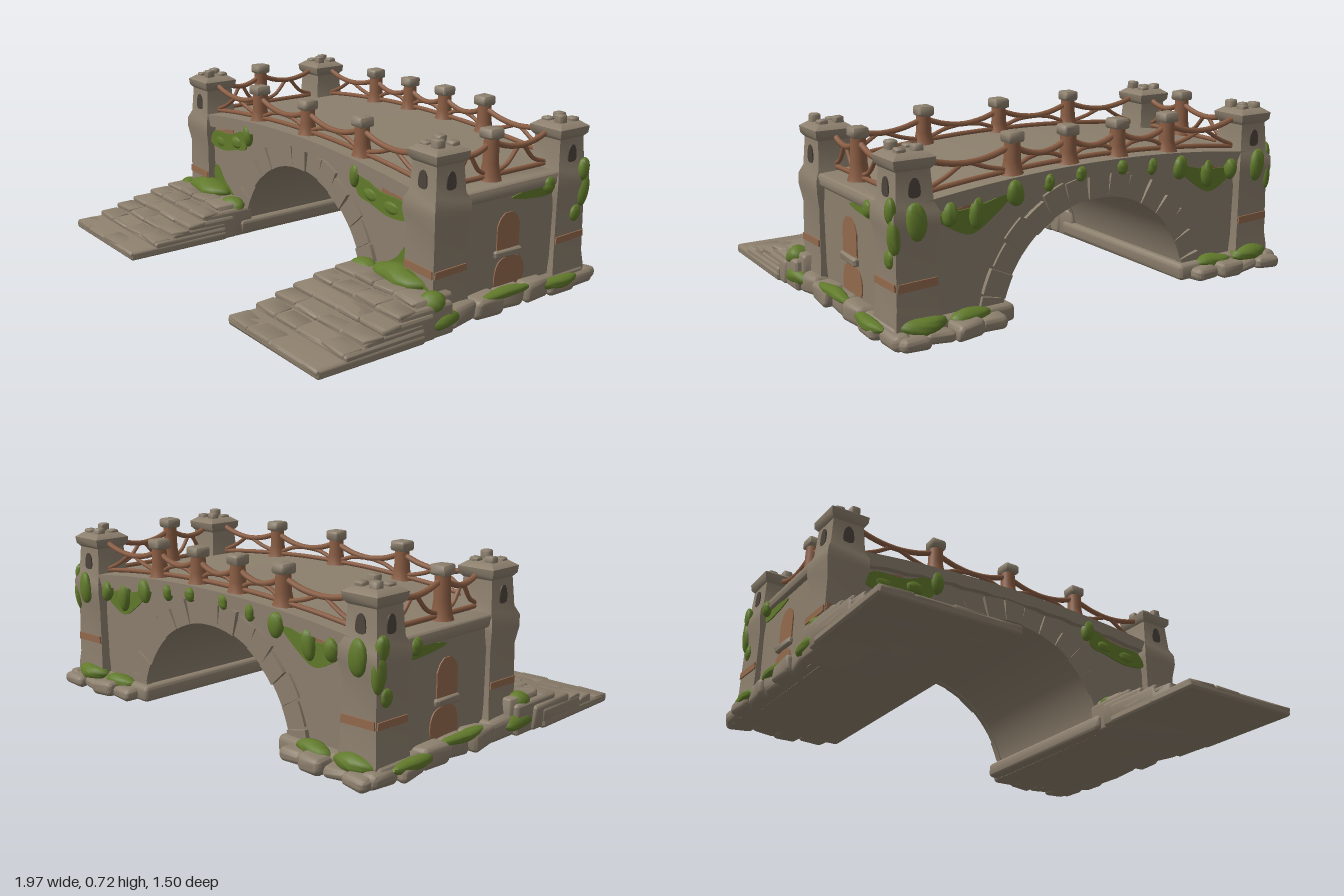
import * as THREE from 'three';
import { mergeVertices, toCreasedNormals } from 'three/addons/utils/BufferGeometryUtils.js';
import { RoundedBoxGeometry } from 'three/addons/geometries/RoundedBoxGeometry.js';

const material = (name, color, side = THREE.FrontSide) => {
  const m = new THREE.MeshStandardMaterial({ color, side });
  m.name = name;
  return m;
};
const V = (x, y, z) => new THREE.Vector3(x, y, z);
const BACK = -0.59, FRONT = 0.07, MID = -0.205; // rail lines along z
const deckY = (x) => 0.562 - 0.062 * (x / 0.85) ** 2;

export function createModel() {
  const stone = material('stone', 0x8c7f6d);
  const wood = material('wood', 0x8a5d43);
  const clay = material('clay', 0x92694d, THREE.DoubleSide);
  const moss = material('moss', 0x617a2b, THREE.DoubleSide);
  const shade = material('window shade', 0x4d453c, THREE.DoubleSide);
  const model = new THREE.Group();
  model.name = 'bridge';

  const add = (name, geometry, mat, x = 0, y = 0, z = 0) => {
    const mesh = new THREE.Mesh(geometry, mat);
    mesh.name = name;
    mesh.position.set(x, y, z);
    model.add(mesh);
    return mesh;
  };

  // Gentle hand-carved wobble, then smooth normals
  const wobble = (geometry, amount, seed) => {
    geometry.deleteAttribute('normal');
    geometry.deleteAttribute('uv');
    const g = mergeVertices(geometry, 1e-4);
    const p = g.attributes.position;
    for (let i = 0; i < p.count; i++) {
      const [x, y, z] = [p.getX(i), p.getY(i), p.getZ(i)];
      p.setXYZ(i, x + amount * Math.sin(31 * z + 23 * y + seed),
        y + amount * 0.6 * Math.sin(37 * x + 29 * z + seed * 2),
        z + amount * Math.sin(33 * x + 19 * y + seed * 3));
    }
    return toCreasedNormals(g, 0.9);
  };
  // Rounded stone given by its minimum and maximum corners
  const block = (name, x0, x1, y0, y1, z0, z1, r = 0.015, amount = 0.004, mat = stone) =>
    add(name, wobble(new RoundedBoxGeometry(x1 - x0, y1 - y0, z1 - z0, 3, r), amount, x0 * 9 + z0 * 17),
      mat, (x0 + x1) / 2, (y0 + y1) / 2, (z0 + z1) / 2);
  // Same, mirrored to either side
  const sideBlock = (s, name, x0, x1, ...rest) =>
    s > 0 ? block(name, x0, x1, ...rest) : block(name, -x1, -x0, ...rest);
  const lump = (name, x, y, z, rx, ry, rz, mat = moss) => {
    const g = new THREE.SphereGeometry(1, 14, 10).scale(rx, ry, rz);
    return add(name, wobble(g, Math.min(rx, ry, rz) * 0.16, x * 13 + z * 7), mat, x, y, z);
  };
  // Thin painted patch with a soft outline; points are [across, y]
  const patchGeometry = (points, smooth) => {
    let pts = points.map(([a, b]) => new THREE.Vector2(a, b));
    if (smooth) {
      pts = new THREE.CatmullRomCurve3(pts.map((p) => V(p.x, p.y, 0)), true)
        .getPoints(40).slice(0, 40).map((p) => new THREE.Vector2(p.x, p.y));
    }
    return new THREE.ExtrudeGeometry(new THREE.Shape(pts), { depth: 0.006, bevelEnabled: false });
  };
  const facePatch = (name, mat, z, points, smooth = true) =>
    add(name, patchGeometry(points, smooth), mat, 0, 0, z > -0.2 ? z : z - 0.006);
  const sidePatch = (name, mat, s, x, points, smooth = true) => {
    const m = add(name, patchGeometry(points.map(([z, y]) => [-s * z, y]), smooth), mat, s * x);
    m.rotation.y = s * Math.PI / 2;
  };
  const extrudeZ = (shape, z0, z1) => {
    const g = new THREE.ExtrudeGeometry(shape, { depth: z1 - z0, bevelEnabled: false, curveSegments: 40 });
    return toCreasedNormals(g.translate(0, 0, z0), 0.6);
  };

  // Main body with the round opening cut from below
  const R = 0.458, CY = -0.04, a0 = Math.asin(-CY / R);
  const body = new THREE.Shape();
  body.moveTo(-0.875, 0);
  body.lineTo(-R * Math.cos(a0), 0);
  body.absarc(0, CY, R, Math.PI - a0, a0, true);
  body.lineTo(0.875, 0);
  for (let i = 0; i <= 30; i++) {
    const x = 0.875 - 1.75 * i / 30;
    body.lineTo(x, deckY(x) - 0.004);
  }
  add('bridgeBody', extrudeZ(body, -0.625, 0.115), stone);

  // Curved deck slab that overhangs both faces
  const top = [], under = [];
  for (let i = 0; i <= 30; i++) {
    const x = -0.8 + 1.6 * i / 30;
    top.push(new THREE.Vector2(x, deckY(x)));
    under.unshift(new THREE.Vector2(x, deckY(x) - 0.055 + 0.004 * Math.sin(i * 2.3)));
  }
  add('deck', extrudeZ(new THREE.Shape([...top, ...under]), -0.655, 0.143), stone);

  // Arch ring of wedge stones on both faces
  const N = 15;
  for (let i = 0; i < N; i++) {
    const t0 = a0 + (Math.PI - 2 * a0) * i / N, t1 = a0 + (Math.PI - 2 * a0) * (i + 1) / N;
    const outer = 0.552 + 0.008 * Math.sin(i * 2.7);
    const wedge = new THREE.Shape();
    wedge.absarc(0, CY, R - 0.004, t0, t1, false);
    wedge.absarc(0, CY, outer, t1 - 0.01, t0 + 0.01, true);
    const out = 0.128 + 0.005 * Math.sin(i * 1.9);
    add('archStone', extrudeZ(wedge, 0.1, out), stone);
    add('archStone', extrudeZ(wedge, -0.51 - out, -0.61), stone);
  }

  // Corner tower: square loft from half-width and height
  const profile = [[0.094, 0], [0.09, 0.09], [0.084, 0.14], [0.08, 0.36], [0.092, 0.43], [0.091, 0.475],
    [0.075, 0.51], [0.067, 0.625], [0.08, 0.64], [0.083, 0.668], [0.055, 0.688], [0.001, 0.69]]
    .map(([w, y]) => new THREE.Vector2(w * Math.SQRT2, y));
  const towerGeometry = toCreasedNormals(new THREE.LatheGeometry(profile, 4, Math.PI / 4), 0.7);
  const windowPoints = (c) => [[c - 0.02, 0.535], [c + 0.02, 0.535], [c + 0.021, 0.575],
    [c + 0.012, 0.595], [c, 0.602], [c - 0.012, 0.595], [c - 0.021, 0.575]];

  for (const s of [1, -1]) {
    for (const [z, f] of [[FRONT, 1], [-0.58, -1]]) {
      const tx = s * 0.815;
      add('tower', towerGeometry, stone, tx, 0, z);
      for (const [dx, dz, h] of [[-1, -1, 0.712], [1, -1, 0.704], [1, 1, 0.72], [-1, 1, 0.7]]) {
        const cx = tx + dx * 0.034, cz = z + dz * 0.034;
        block('battlement', cx - 0.02, cx + 0.02, 0.67, h, cz - 0.02, cz + 0.02, 0.008, 0.002);
      }
      facePatch('towerWindow', shade, z + f * 0.07, windowPoints(tx));
      sidePatch('towerWindow', shade, s, 0.885, windowPoints(z));
      // Exposed clay courses
      facePatch('clayBand', clay, z + f * 0.083, [[tx - 0.08, 0.205], [tx + 0.08, 0.2], [tx + 0.078, 0.232], [tx - 0.078, 0.236]], false);
      sidePatch('clayBand', clay, s, 0.898, [[z - 0.08, 0.205], [z + 0.08, 0.2], [z + 0.078, 0.228], [z - 0.078, 0.232]], false);
      facePatch('clayStreak', clay, f > 0 ? 0.113 : -0.623, [[s * 0.55, 0.445], [s * 0.72, 0.405], [s * 0.72, 0.44], [s * 0.55, 0.475]], false);
    }

    // End wall: lip, niche, sill and worn plaster
    sideBlock(s, 'endLip', 0.79, 0.895, 0.45, 0.503, -0.53, 0.02);
    sideBlock(s, 'nicheSill', 0.86, 0.895, 0.2, 0.232, -0.32, -0.18, 0.01);
    sidePatch('niche', clay, s, 0.874, [[-0.19, 0.23], [-0.19, 0.33], [-0.205, 0.36], [-0.23, 0.38],
      [-0.27, 0.38], [-0.295, 0.36], [-0.31, 0.33], [-0.31, 0.23]], false);
    sidePatch('wornPlaster', clay, s, 0.874, [[-0.19, 0.08], [-0.195, 0.17], [-0.23, 0.195], [-0.32, 0.185], [-0.345, 0.13], [-0.33, 0.08]]);
    sidePatch('wallMoss', moss, s, 0.874, [[-0.26, 0.435], [-0.36, 0.415], [-0.49, 0.42], [-0.5, 0.485], [-0.4, 0.46]]);

    // Footing and its edge stones
    sideBlock(s, 'footing', 0.41, 0.92, 0, 0.07, -0.67, 0.17, 0.02);
    for (let i = 0; i < 6; i++) {
      const z = 0.1 - i * 0.135;
      const h = i < 4 ? 0.085 : 0.06;
      sideBlock(s, 'edgeStone', 0.86, 0.945 + 0.012 * Math.sin(i * 2.1), 0, h, z - 0.14, z, 0.025, 0.006);
    }
    for (let i = 0; i < 4; i++) {
      const x = 0.47 + i * 0.11;
      sideBlock(s, 'backStone', x, x + 0.12, 0, 0.055 + 0.012 * Math.sin(i * 2), -0.735 + 0.012 * Math.cos(i * 3), -0.62, 0.024, 0.005);
    }

    // Stairs, lowest step first: top height, front z, back z, half width
    const steps = [[0.04, 0.738, 0.25, 0.29], [0.062, 0.62, 0.25, 0.287], [0.082, 0.53, 0.25, 0.284],
      [0.102, 0.445, 0.2, 0.28], [0.13, 0.36, 0.1, 0.268], [0.152, 0.27, 0.08, 0.245]];
    steps.forEach(([h, zf, zb, w], i) => {
      sideBlock(s, 'step', 0.692 - w, 0.692 + w, 0, h, zb, zf, 0.014, 0.004);
      for (let k = 0; k < 4; k++) { // worn tread stones
        const x = 0.692 - w + k * w / 2;
        sideBlock(s, 'treadStone', x + 0.003, x + w / 2 - 0.003, h - 0.02, h + 0.003 * Math.sin(i + k * 2), zf - 0.085, zf + 0.004, 0.009, 0.003);
      }
    });

    // Moss at the head of the stairs and round the footing
    const mounds = [[0.72, 0.155, 0.15, 0.15, 0.045, 0.07], [0.5, 0.13, 0.165, 0.07, 0.035, 0.045],
      [0.91, 0.12, 0.165, 0.055, 0.045, 0.055], [0.93, 0.05, 0.13, 0.045, 0.035, 0.09],
      [0.925, 0.075, -0.2, 0.03, 0.02, 0.14], [0.93, 0.05, -0.5, 0.03, 0.025, 0.11],
      [0.8, 0.065, -0.665, 0.1, 0.035, 0.045], [0.6, 0.06, -0.66, 0.09, 0.03, 0.04]];
    mounds.forEach(([x, ...r]) => lump('footingMoss', s * x, ...r));
    facePatch('climbingMoss', moss, 0.115, [[s * 0.56, 0.14], [s * 0.86, 0.14], [s * 0.76, 0.2], [s * 0.71, 0.27], [s * 0.65, 0.21]]);
    facePatch('climbingMoss', moss, 0.155, [[s * 0.7, 0.14], [s * 0.89, 0.14], [s * 0.83, 0.18], [s * 0.75, 0.2]]);
    facePatch('hangingMoss', moss, 0.13, [[s * 0.4, 0.5], [s * 0.42, 0.41], [s * 0.5, 0.39], [s * 0.62, 0.365], [s * 0.73, 0.385], [s * 0.7, 0.44], [s * 0.55, 0.455]]);
    facePatch('hangingMoss', moss, -0.634, [[s * 0.4, 0.49], [s * 0.5, 0.4], [s * 0.58, 0.36], [s * 0.66, 0.39], [s * 0.72, 0.44], [s * 0.55, 0.46]]);

    // Hanging moss tufts: x, y, z, radii
    const tufts = [[0.4, 0.48, 0.135, 0.03, 0.05, 0.022], [0.5, 0.425, 0.125, 0.05, 0.03, 0.02], [0.63, 0.405, 0.122, 0.06, 0.03, 0.02],
      [0.4, 0.49, -0.66, 0.035, 0.05, 0.024], [0.1, 0.525, -0.655, 0.025, 0.03, 0.02], [0.25, 0.51, -0.655, 0.022, 0.035, 0.02],
      [0.56, 0.44, -0.65, 0.03, 0.06, 0.025], [0.68, 0.45, -0.655, 0.03, 0.045, 0.025], [0.82, 0.45, -0.672, 0.04, 0.07, 0.02],
      [0.895, 0.4, -0.65, 0.022, 0.07, 0.03], [0.9, 0.49, -0.64, 0.02, 0.05, 0.028], [0.895, 0.31, -0.61, 0.014, 0.035, 0.03],
      [0.89, 0.46, -0.45, 0.02, 0.035, 0.03]];
    tufts.forEach(([x, ...r]) => lump('mossTuft', s * x, ...r));
  }

  // Railing post: flared wood with a stone cap
  const postProfile = [[0.05, 0], [0.04, 0.025], [0.033, 0.07], [0.03, 0.17]].map(([r, y]) => new THREE.Vector2(r, y));
  const postGeometry = new THREE.LatheGeometry(postProfile, 12);
  const post = (x, z) => {
    const y = deckY(x) - 0.01;
    add('railPost', postGeometry, wood, x, y, z).scale.y = (0.68 - y) / 0.17;
    block('postCap', x - 0.035, x + 0.035, 0.668, 0.71, z - 0.035, z + 0.035, 0.01, 0.002);
  };
  const tube = (name, points, r) =>
    add(name, new THREE.TubeGeometry(new THREE.CatmullRomCurve3(points), 14, r, 7), wood);
  // One span: sagging top rail, low rail and two bent braces
  const span = (a, b) => {
    const at = (t, y) => V(a[0] + (b[0] - a[0]) * t, y, a[1] + (b[1] - a[1]) * t);
    const floor = (t) => deckY(a[0] + (b[0] - a[0]) * t);
    tube('topRail', [at(0, 0.655), at(0.25, 0.625), at(0.5, 0.614), at(0.75, 0.625), at(1, 0.655)], 0.012);
    tube('lowRail', [at(0, floor(0) + 0.014), at(0.5, floor(0.5) + 0.014), at(1, floor(1) + 0.014)], 0.01);
    for (const m of [(t) => t, (t) => 1 - t]) {
      tube('brace', [at(m(0.06), floor(m(0.06)) + 0.02), at(m(0.27), floor(m(0.27)) + 0.045), at(m(0.45), 0.612)], 0.009);
    }
  };
  const run = (points) => points.forEach((p, i) => {
    if (i > 0) span(points[i - 1], p);
    if (i > 0 && i < points.length - 1) post(...p);
  });
  run([-0.77, -0.375, 0, 0.375, 0.77].map((x) => [x, FRONT + 0.01]));
  run([-0.77, -0.375, -0.12, 0.12, 0.375, 0.77].map((x) => [x, BACK - 0.005]));
  for (const s of [1, -1]) run([-0.53, MID, 0.03].map((z) => [s * 0.81, z]));

  return model;
}
